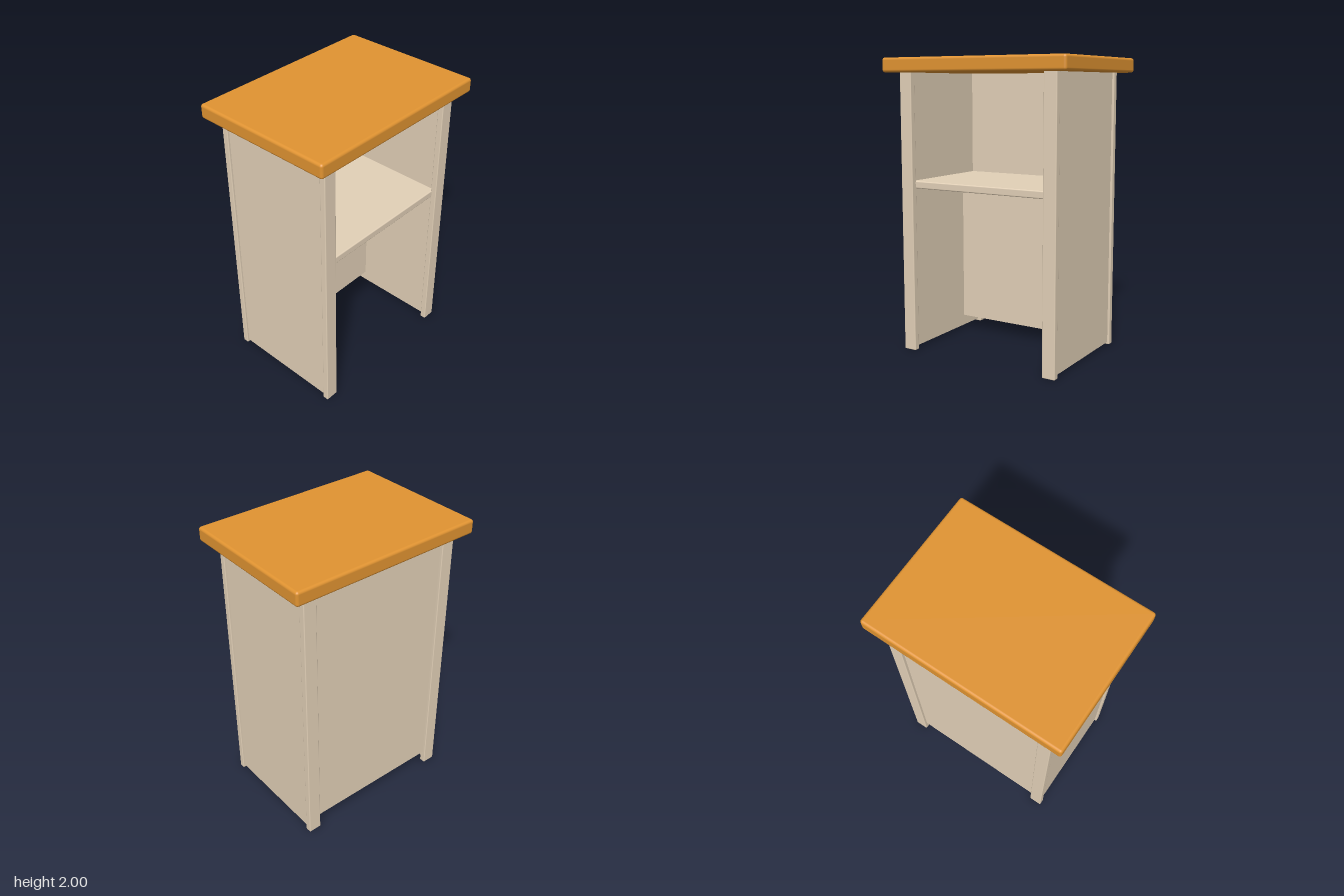
import * as THREE from 'three';
import { RoundedBoxGeometry } from 'three/addons/geometries/RoundedBoxGeometry.js';

export function createModel() {
  const model = new THREE.Group();
  model.name = 'cabinetStand';
  const wood = new THREE.MeshStandardMaterial({ color: 0xe09331 });
  wood.name = 'honey wood';
  const paint = new THREE.MeshStandardMaterial({ color: 0xe2d0b7 });
  paint.name = 'beige paint';

  // Box given by its limits on each axis; a radius rounds its edges
  function slab(name, material, [x0, x1], [y0, y1], [z0, z1], radius = 0) {
    const size = [x1 - x0, y1 - y0, z1 - z0];
    const geometry = radius
      ? new RoundedBoxGeometry(...size, 3, radius)
      : new THREE.BoxGeometry(...size);
    const mesh = new THREE.Mesh(geometry, material);
    mesh.name = name;
    mesh.position.set((x0 + x1) / 2, (y0 + y1) / 2, (z0 + z1) / 2);
    model.add(mesh);
  }

  // Overhanging top
  slab('tableTop', wood, [-0.687, 0.687], [1.903, 2], [-0.5, 0.5], 0.018);

  // Legs and side panels set just inside their outer faces
  for (const [side, s] of [['left', 1], ['right', -1]]) {
    const span = (a, b) => (s > 0 ? [a, b] : [-b, -a]);
    slab(side + 'FrontLeg', paint, span(0.5, 0.592), [0, 1.91], [0.388, 0.43], 0.006);
    slab(side + 'BackLeg', paint, span(0.5, 0.592), [0, 1.91], [-0.43, -0.386], 0.006);
    slab(side + 'Panel', paint, span(0.525, 0.577), [0.017, 1.91], [-0.4, 0.4]);
  }

  // Back, thicker below the shelf than above it
  slab('upperBack', paint, [-0.53, 0.53], [1.15, 1.91], [-0.41, -0.328]);
  slab('lowerBack', paint, [-0.53, 0.53], [0.093, 1.15], [-0.41, -0.197]);

  // Shelf
  slab('shelf', paint, [-0.53, 0.53], [1.13, 1.18], [-0.345, 0.395], 0.008);

  return model;
}
